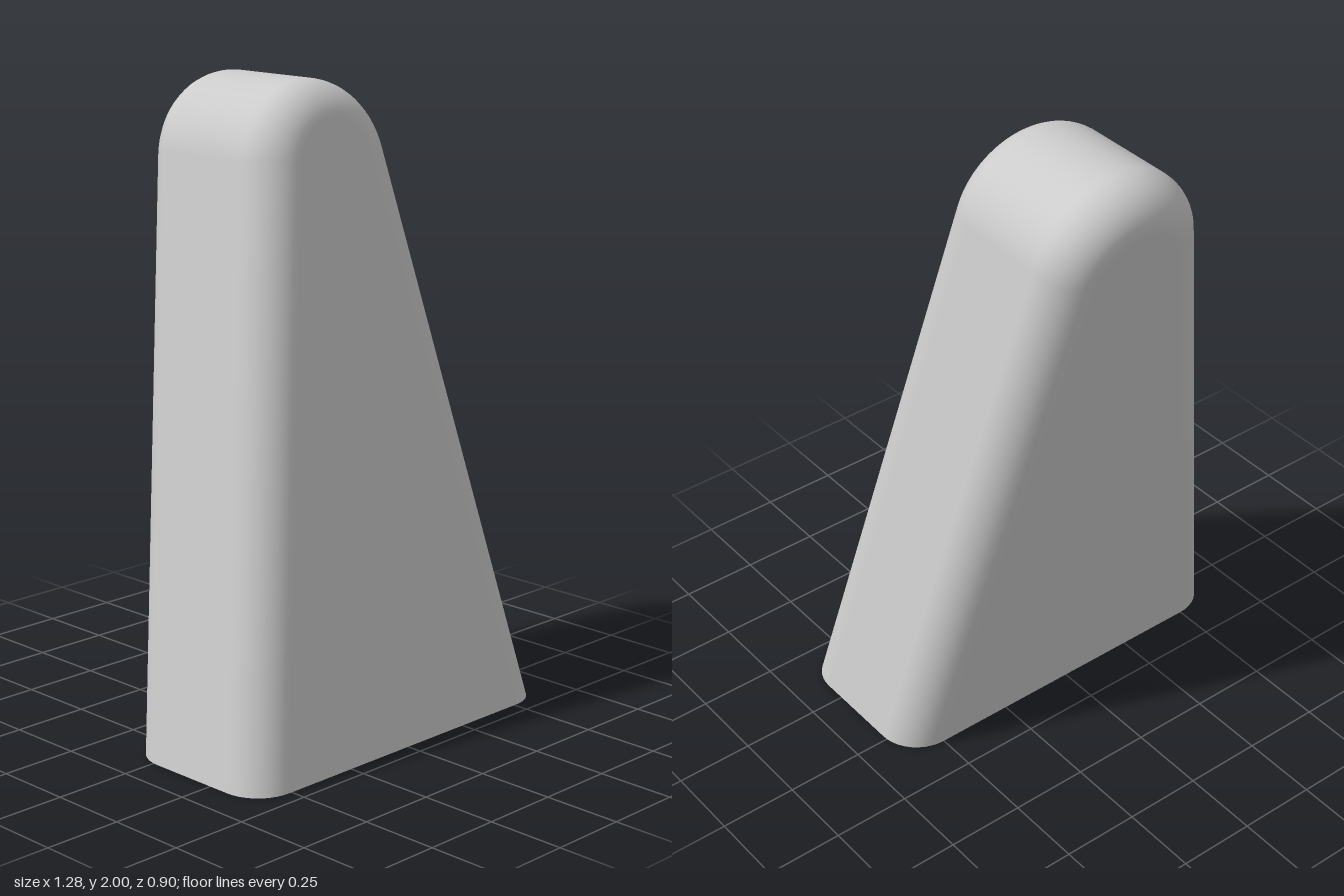
import * as THREE from 'three';

const HEIGHT = 2, TOP_RADIUS = 0.28, FILLET = 0.13;
const FRONT_Z = 0.45, BACK_Z = -0.12;          // face positions at the base
const TAPER = Math.atan(0.205);                // side slope
const LEAN = Math.atan(0.1765);                // backward lean
const ARC_STEPS = 40, FILLET_STEPS = 10;
const HOLE = { x: 0.38, z: 0.16, radius: 0.06, depth: 0.3 };

const frontNormal = new THREE.Vector3(0, Math.sin(LEAN), Math.cos(LEAN));
const backNormal = frontNormal.clone().negate();

// One rib of the rounded edge, running from the front face round to the back face
function makeRib(angle, grounded) {
  const outward = new THREE.Vector3(Math.cos(angle), Math.sin(angle), 0);
  const rib = [];
  const addFillet = (faceNormal, faceZ, sign, reverse) => {
    const centre = outward.clone().multiplyScalar(TOP_RADIUS - FILLET);
    centre.y += HEIGHT - TOP_RADIUS;
    centre.z = faceZ - Math.tan(LEAN) * centre.y - sign * FILLET / Math.cos(LEAN);
    for (let k = 0; k <= FILLET_STEPS; k++) {
      const t = (reverse ? FILLET_STEPS - k : k) / FILLET_STEPS * Math.PI / 2;
      const normal = faceNormal.clone().multiplyScalar(Math.cos(t))
        .addScaledVector(outward, Math.sin(t)).normalize();
      const point = centre.clone().addScaledVector(normal, FILLET);
      if (grounded) {
        // slide down the straight side to the base plane
        const slope = new THREE.Vector3(-Math.sign(outward.x) * Math.tan(TAPER), 1, -Math.tan(LEAN));
        point.addScaledVector(slope, -point.y);
      }
      rib.push({ point, normal });
    }
  };
  addFillet(frontNormal, FRONT_Z, 1, false);
  addFillet(backNormal, BACK_Z, -1, true);
  return rib;
}

// Ribs from the base up one side, over the rounded top and down the other side
function makeRibs() {
  const ribs = [makeRib(TAPER, true)];
  for (let i = 0; i <= ARC_STEPS; i++) {
    ribs.push(makeRib(TAPER + (Math.PI - 2 * TAPER) * i / ARC_STEPS, false));
  }
  ribs.push(makeRib(Math.PI - TAPER, true));
  return ribs;
}

function bodyGeometry(ribs) {
  const positions = [], normals = [], indices = [];
  const rows = ribs[0].length;
  ribs.forEach(rib => rib.forEach(({ point, normal }) => {
    positions.push(...point.toArray());
    normals.push(...normal.toArray());
  }));
  for (let i = 0; i < ribs.length - 1; i++) {
    for (let j = 0; j < rows - 1; j++) {
      const a = i * rows + j, b = a + rows;
      indices.push(a, a + 1, b, b, a + 1, b + 1);
    }
    // flat front and back faces
    if (i > 0) {
      const a = i * rows, b = a + rows;
      indices.push(0, a, b, rows - 1, b + rows - 1, a + rows - 1);
    }
  }
  const geometry = new THREE.BufferGeometry();
  geometry.setAttribute('position', new THREE.Float32BufferAttribute(positions, 3));
  geometry.setAttribute('normal', new THREE.Float32BufferAttribute(normals, 3));
  geometry.setIndex(indices);
  return geometry;
}

// Underside with a round hole, taken from the two grounded ribs
function baseGeometry(ribs) {
  const outline = [...ribs[0], ...ribs[ribs.length - 1].slice().reverse()]
    .map(({ point }) => new THREE.Vector2(point.x, point.z));
  const shape = new THREE.Shape(outline);
  shape.holes.push(new THREE.Path().absarc(HOLE.x, HOLE.z, HOLE.radius, 0, Math.PI * 2, true));
  return new THREE.ShapeGeometry(shape, 16).rotateX(Math.PI / 2);
}

export function createModel() {
  const group = new THREE.Group();
  const material = new THREE.MeshStandardMaterial({ color: 0xcccccc });
  const inner = new THREE.MeshStandardMaterial({ color: 0xcccccc, side: THREE.DoubleSide });
  const add = (name, geometry, mat = material) => {
    const mesh = new THREE.Mesh(geometry, mat);
    mesh.name = name;
    group.add(mesh);
    return mesh;
  };

  const ribs = makeRibs();
  add('body', bodyGeometry(ribs));
  add('base', baseGeometry(ribs));

  // Blind hole in the underside
  add('holeWall', new THREE.CylinderGeometry(HOLE.radius, HOLE.radius, HOLE.depth, 32, 1, true), inner)
    .position.set(HOLE.x, HOLE.depth / 2, HOLE.z);
  add('holeEnd', new THREE.CircleGeometry(HOLE.radius, 32).rotateX(Math.PI / 2))
    .position.set(HOLE.x, HOLE.depth, HOLE.z);

  return group;
}
